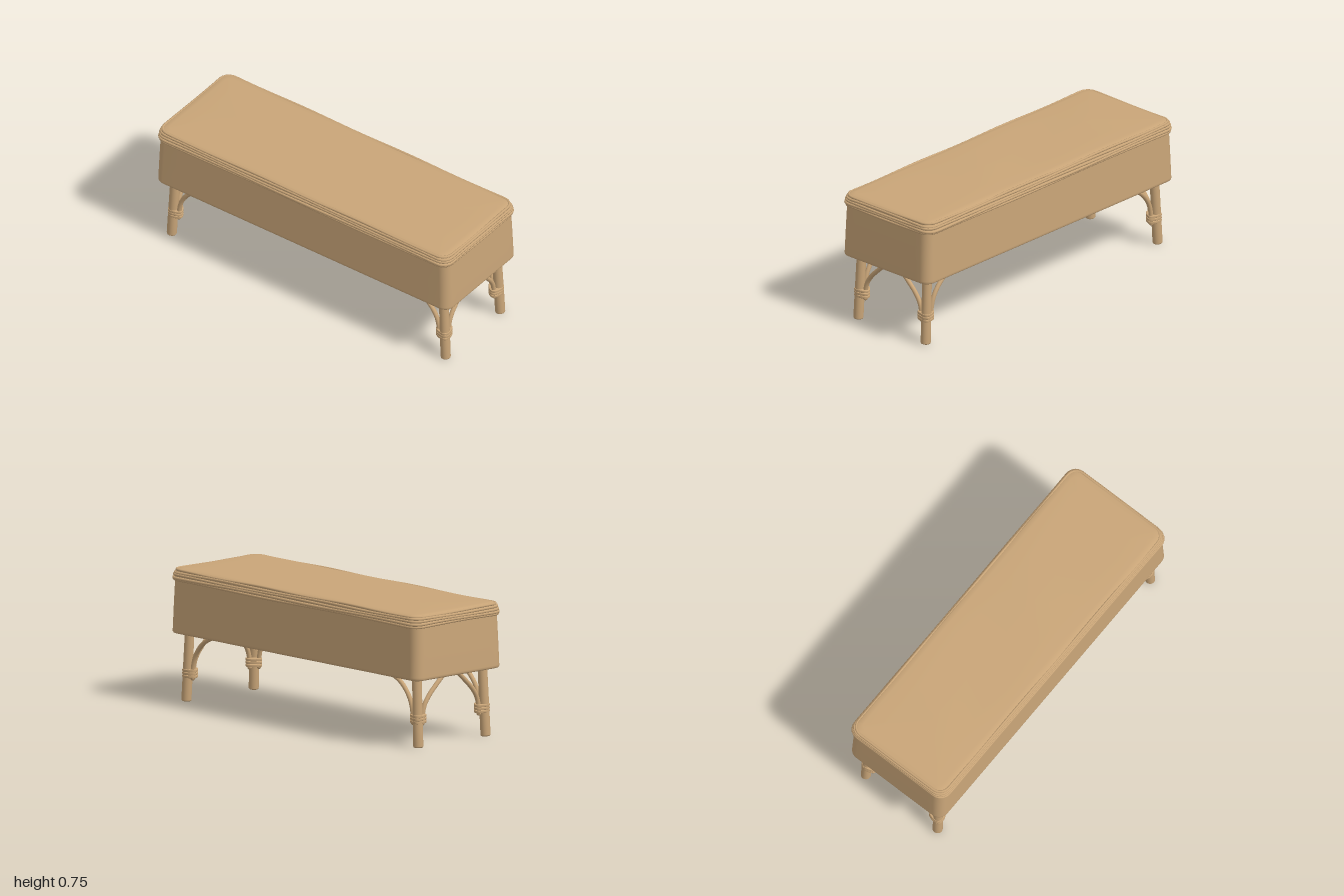
import * as THREE from 'three';

const rattan = new THREE.MeshStandardMaterial({ color: 0xc9a578 });
rattan.name = 'rattan';

// Points around a rounded rectangle, with extra points along the straight runs
function outline(hx, hz, r) {
  const pts = [], arc = 6, run = 14;
  const corners = [[1, 1], [-1, 1], [-1, -1], [1, -1]];
  corners.forEach(([sx, sz], c) => {
    for (let i = 0; i <= arc; i++) {
      const a = (c + i / arc) * Math.PI / 2;
      pts.push([sx * (hx - r) + r * Math.cos(a), sz * (hz - r) + r * Math.sin(a)]);
    }
    const [nx, nz] = corners[(c + 1) % 4];
    const a = (c + 1) * Math.PI / 2;
    const from = pts[pts.length - 1];
    const to = [nx * (hx - r) + r * Math.cos(a), nz * (hz - r) + r * Math.sin(a)];
    for (let i = 1; i < run; i++) {
      const t = i / run;
      pts.push([from[0] + (to[0] - from[0]) * t, from[1] + (to[1] - from[1]) * t]);
    }
  });
  return pts;
}

// Skin over stacked outlines, rows are [y, halfX, halfZ, cornerRadius]
function loft(rows, wobble = 0) {
  const pos = [], idx = [];
  let n = 0;
  rows.forEach(([y, hx, hz, r]) => {
    const ring = outline(hx, hz, r);
    n = ring.length;
    ring.forEach(([x, z]) => pos.push(x, y + wobble * Math.sin(x * 7 + z * 9), z));
  });
  for (let i = 0; i < rows.length - 1; i++) {
    for (let k = 0; k < n; k++) {
      const a = i * n + k, b = i * n + (k + 1) % n;
      idx.push(a, a + n, b, b, a + n, b + n);
    }
  }
  const g = new THREE.BufferGeometry();
  g.setAttribute('position', new THREE.Float32BufferAttribute(pos, 3));
  g.setIndex(idx);
  g.computeVertexNormals();
  return g;
}

function add(parent, geometry, name) {
  const mesh = new THREE.Mesh(geometry, rattan);
  mesh.name = name;
  parent.add(mesh);
  return mesh;
}

// Curved cane with a rounded lower end
function cane(parent, points, radius, name) {
  const path = new THREE.CatmullRomCurve3(points);
  add(parent, new THREE.TubeGeometry(path, 28, radius, 12), name);
  add(parent, new THREE.SphereGeometry(radius, 12, 8), name + 'End').position.copy(points[0]);
}

// Splayed leg, two curved braces and the binding, placed at one corner
function cornerLeg(sx, sz) {
  const leg = new THREE.Group();
  leg.name = (sz > 0 ? 'front' : 'back') + (sx > 0 ? 'Left' : 'Right') + 'Leg';
  const at = (x, y, z) => new THREE.Vector3(sx * x, y, sz * z);

  const foot = at(0.932, 0.003, 0.252), head = at(0.912, 0.41, 0.245);
  const axis = head.clone().sub(foot);
  const profile = [[0, 0], [0.021, 0], [0.026, 0.003], [0.028, 0.008], [0.028, 0.1], [0.0265, axis.length()]];
  const post = add(leg, new THREE.LatheGeometry(profile.map(p => new THREE.Vector2(...p)), 20), 'post');
  post.position.copy(foot);
  post.quaternion.setFromUnitVectors(new THREE.Vector3(0, 1, 0), axis.normalize());

  cane(leg, [[0.885, 0.135], [0.881, 0.2], [0.866, 0.255], [0.835, 0.305], [0.785, 0.352], [0.73, 0.379], [0.68, 0.392]]
    .map(([x, y]) => at(x, y, 0.248)), 0.013, 'sideBrace');
  cane(leg, [[0.211, 0.132], [0.207, 0.19], [0.193, 0.235], [0.162, 0.28], [0.112, 0.33], [0.035, 0.4]]
    .map(([z, y]) => at(0.92, y, z)), 0.013, 'endBrace');

  // Three wrapped coils holding the braces to the post
  const loop = [[0.951, 0.25], [0.942, 0.271], [0.92, 0.276], [0.885, 0.267], [0.868, 0.25],
    [0.875, 0.225], [0.902, 0.196], [0.92, 0.19], [0.938, 0.2]];
  for (let i = 0; i < 3; i++) {
    const shape = new THREE.Shape();
    const pts = loop.map(([x, z]) => new THREE.Vector3(sx * x, -sz * z, 0));
    const curve = new THREE.CatmullRomCurve3(pts, true);
    shape.setFromPoints(curve.getPoints(36).slice(0, -1).map(p => new THREE.Vector2(p.x, p.y)));
    const coil = new THREE.ExtrudeGeometry(shape, {
      depth: 0.008, bevelThickness: 0.004, bevelSize: 0.004, bevelOffset: -0.002, bevelSegments: 3,
    });
    coil.rotateX(-Math.PI / 2);
    add(leg, coil, 'bindingCoil').position.y = 0.14 + i * 0.0165;
  }
  return leg;
}

export function createModel() {
  const bench = new THREE.Group();
  bench.name = 'storageBench';

  // Slightly tapered box with softened lower edges
  add(bench, loft([
    [0.385, 0.67, 0, 0], [0.385, 0.97, 0.3, 0.03], [0.385, 0.985, 0.313, 0.043],
    [0.388, 0.993, 0.321, 0.051], [0.394, 0.997, 0.325, 0.055], [0.404, 0.997, 0.325, 0.055],
    [0.55, 0.992, 0.321, 0.055], [0.7, 0.985, 0.317, 0.055],
  ]), 'chest');

  // Soft padded lid
  add(bench, loft([
    [0.68, 0.67, 0, 0], [0.68, 0.975, 0.31, 0.05], [0.684, 0.986, 0.326, 0.06],
    [0.71, 0.987, 0.327, 0.06], [0.728, 0.985, 0.324, 0.06], [0.74, 0.978, 0.318, 0.056],
    [0.747, 0.966, 0.306, 0.046], [0.75, 0.94, 0.28, 0.03], [0.752, 0.85, 0.18, 0.02],
    [0.753, 0.67, 0, 0],
  ], 0.0012), 'lid');

  // Uneven cane strands wound round the rim: [y, halfX, halfZ, thickness]
  [[0.686, 0.985, 0.325, 0.008], [0.699, 0.987, 0.328, 0.009], [0.713, 0.986, 0.325, 0.008],
    [0.727, 0.983, 0.321, 0.008], [0.739, 0.976, 0.315, 0.008]].forEach(([y, hx, hz, r], i) => {
    const pts = outline(hx, hz, 0.058).map(([x, z]) =>
      new THREE.Vector3(x, y + 0.0025 * Math.sin(x * (5 + i) + z * 8 + i * 2), z));
    const path = new THREE.CatmullRomCurve3(pts, true);
    add(bench, new THREE.TubeGeometry(path, 260, r, 8, true), 'rimStrand');
  });

  for (const sx of [1, -1]) for (const sz of [1, -1]) bench.add(cornerLeg(sx, sz));
  return bench;
}
